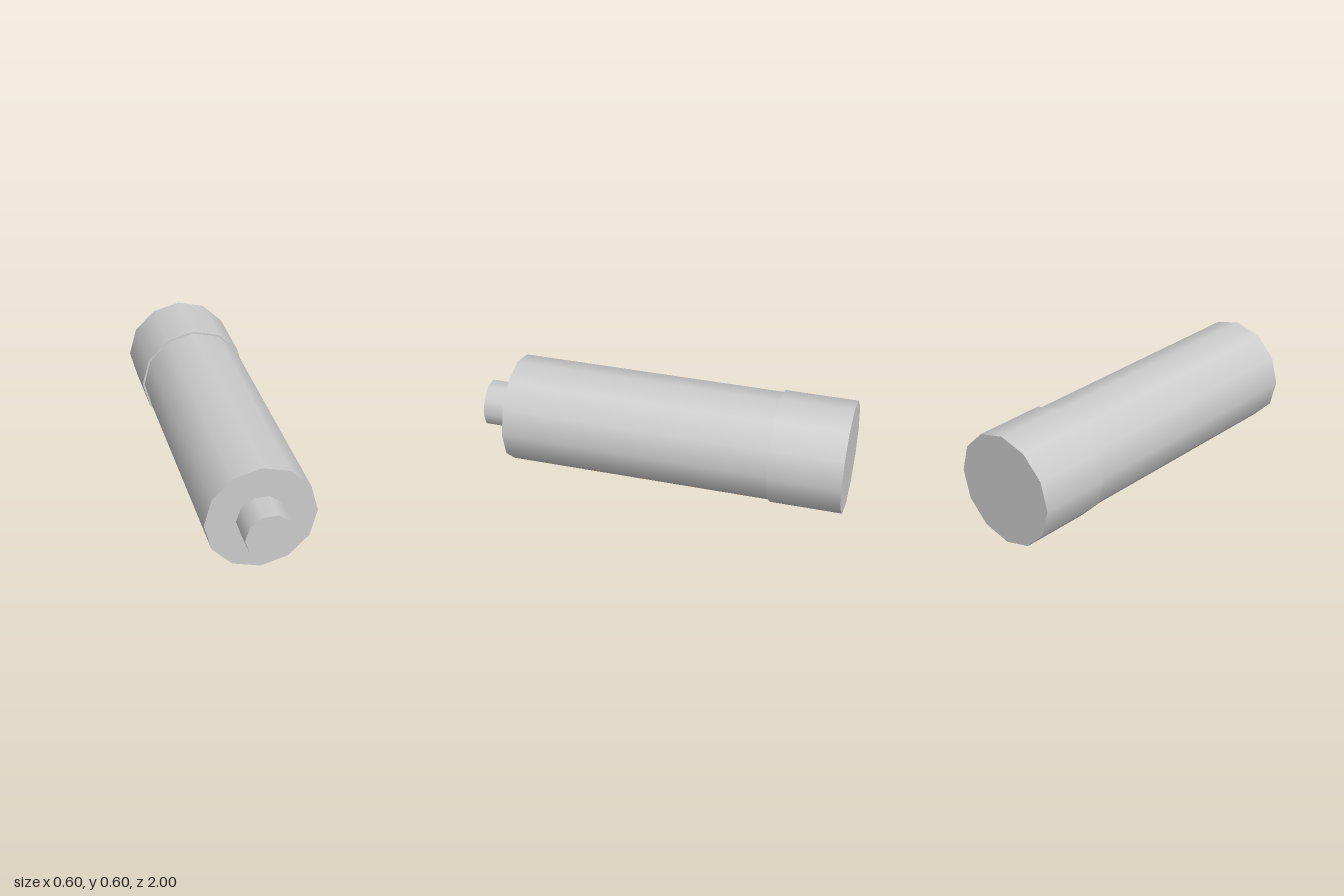
import * as THREE from 'three';

const material = new THREE.MeshStandardMaterial({ color: 0xcccccc });
const AXIS_Y = 0.3;

// Smooth-shaded prism lying along z, with a corner on the x axis
function barrel(name, radius, sides, zBack, zFront) {
  const length = zFront - zBack;
  const geometry = new THREE.CylinderGeometry(radius, radius, length, sides, 1, false, Math.PI / 2);
  geometry.rotateX(Math.PI / 2);
  const mesh = new THREE.Mesh(geometry, material);
  mesh.name = name;
  mesh.position.set(0, AXIS_Y, (zBack + zFront) / 2);
  return mesh;
}

export function createModel() {
  const model = new THREE.Group();
  model.name = 'cylinder';
  model.add(
    barrel('endCap', 0.3, 12, -1, -0.612),     // wider sleeve at the back
    barrel('body', 0.289, 12, -0.612, 0.832),  // main tube
    barrel('frontStud', 0.128, 10, 0.832, 1)   // small stud at the front
  );
  return model;
}
